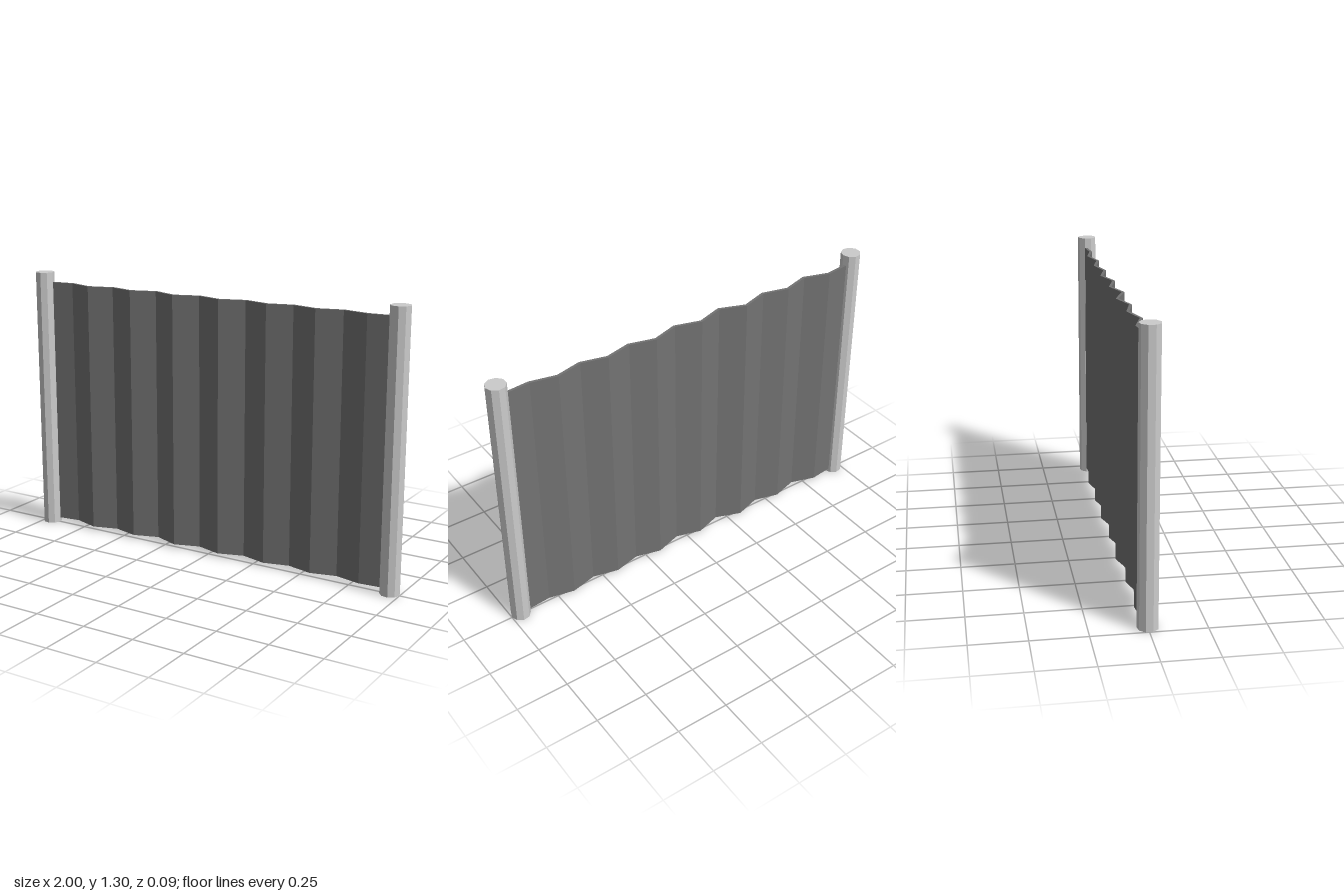
import * as THREE from 'three';

const HEIGHT = 1.305, POST_RADIUS = 0.047;
const PANEL_BOTTOM = 0.02, PANEL_TOP = 1.255, PANEL_HALF = 0.925, THICKNESS = 0.013;

// Depth of each fold line, evenly spaced along x
const FOLDS = [-0.011, -0.027, 0.012, -0.024, 0.008, -0.031, 0.015, -0.025,
  0.01, -0.029, 0.003, -0.027, 0.003, -0.027, 0, -0.01];

function createPost(name, x, material) {
  const geometry = new THREE.CylinderGeometry(POST_RADIUS, POST_RADIUS, HEIGHT, 9);
  geometry.rotateY(Math.PI / 2); // one edge points to +x
  const post = new THREE.Mesh(geometry, material);
  post.name = name;
  post.position.set(x, HEIGHT / 2, 0);
  return post;
}

function createPanel(material) {
  // Zigzag outline: along the front face, then back along the rear face
  const step = 2 * PANEL_HALF / (FOLDS.length - 1);
  const side = (offset) => FOLDS.map((z, i) =>
    new THREE.Vector2(-PANEL_HALF + i * step, -z + offset));
  const outline = [...side(-THICKNESS / 2), ...side(THICKNESS / 2).reverse()];
  const geometry = new THREE.ExtrudeGeometry(new THREE.Shape(outline), {
    depth: PANEL_TOP - PANEL_BOTTOM, bevelEnabled: false,
  });
  geometry.rotateX(-Math.PI / 2);
  const panel = new THREE.Mesh(geometry, material);
  panel.name = 'corrugatedPanel';
  panel.position.y = PANEL_BOTTOM;
  return panel;
}

export function createModel() {
  const group = new THREE.Group();
  group.name = 'fenceSection';
  const postMaterial = new THREE.MeshStandardMaterial({ color: 0xcccccc, flatShading: true });
  const panelMaterial = new THREE.MeshStandardMaterial({ color: 0x737373, flatShading: true });

  group.add(
    createPost('leftPost', 0.953, postMaterial),
    createPost('rightPost', -0.956, postMaterial),
    createPanel(panelMaterial),
  );
  return group;
}
